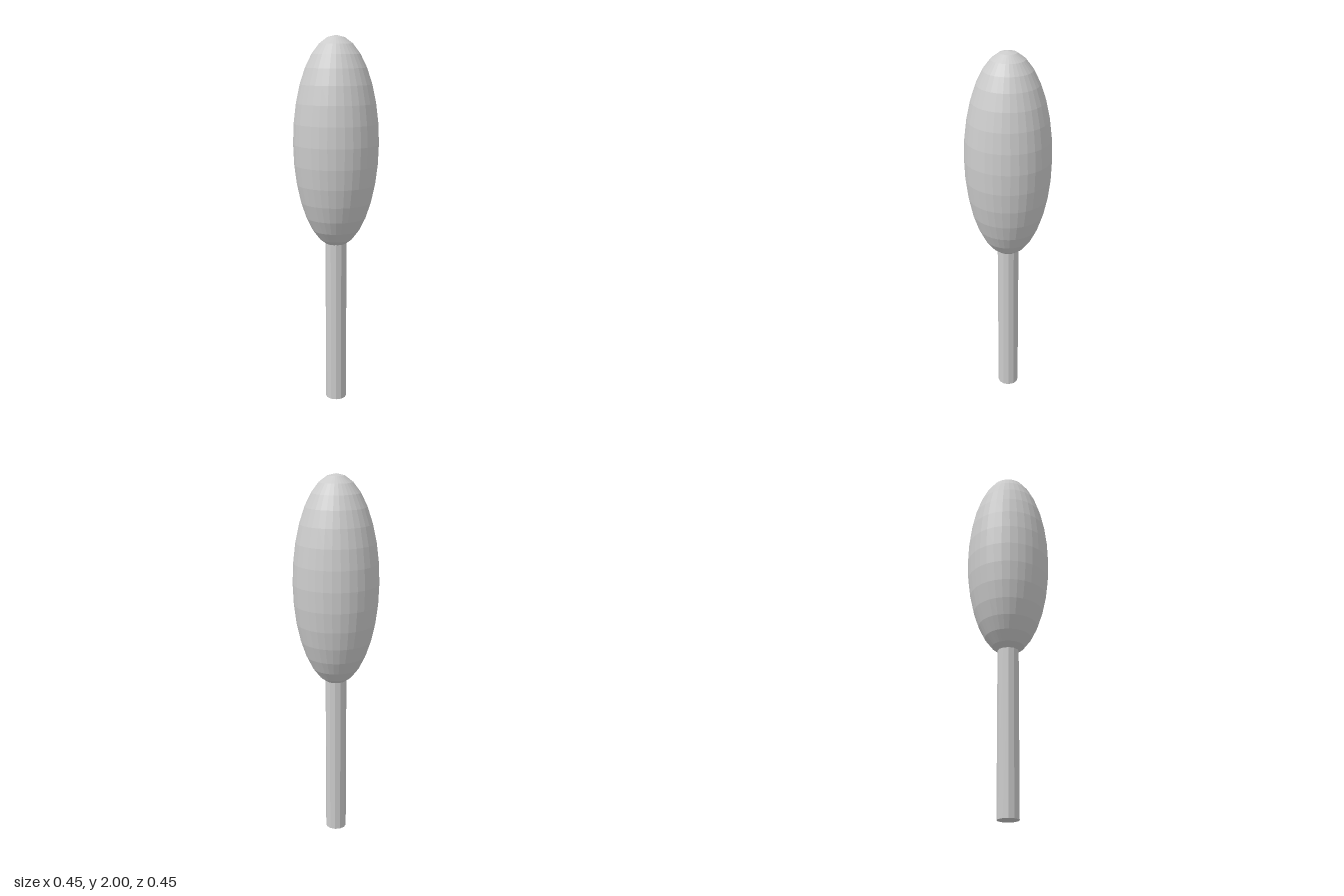
import * as THREE from 'three';

export function createModel() {
  const group = new THREE.Group();
  const material = new THREE.MeshStandardMaterial({ color: 0xcccccc, flatShading: true });

  // Straight faceted stalk
  const stem = new THREE.Mesh(new THREE.CylinderGeometry(0.057, 0.057, 0.91, 12), material);
  stem.name = 'stem';
  stem.rotation.y = Math.PI / 12;
  stem.position.y = 0.455;
  group.add(stem);

  // Tall ellipsoid head resting on the stalk
  const head = new THREE.Mesh(new THREE.SphereGeometry(1, 32, 16), material);
  head.name = 'head';
  head.scale.set(0.227, 0.56, 0.227);
  head.position.y = 1.44;
  group.add(head);

  return group;
}
